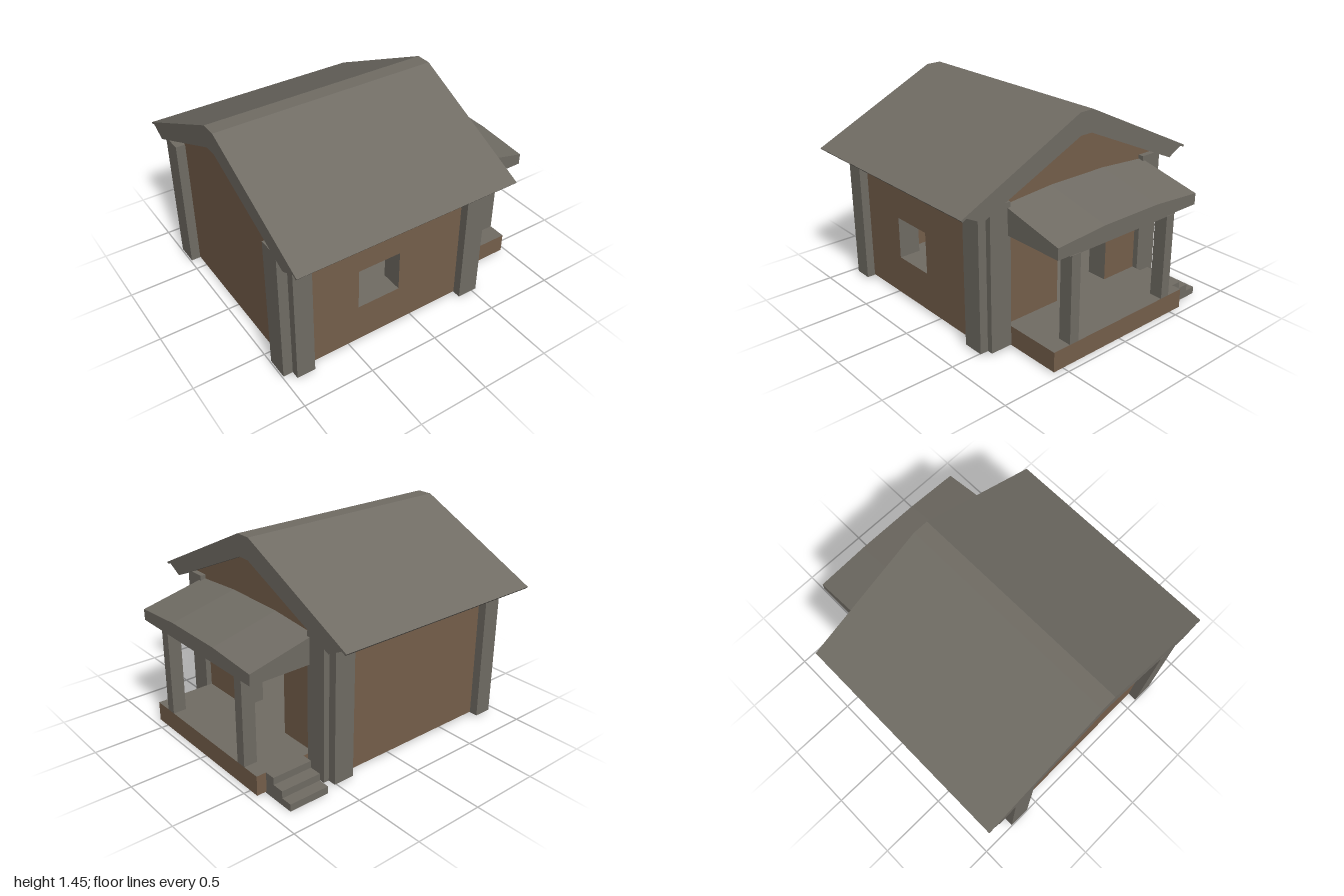
import * as THREE from 'three';
import { ConvexGeometry } from 'three/addons/geometries/ConvexGeometry.js';

const stone = new THREE.MeshStandardMaterial({ color: 0x706c64 });
stone.name = 'grey stone';
const brown = new THREE.MeshStandardMaterial({ color: 0x755f4b });
brown.name = 'brown wall';

const shapeOf = (pts) => new THREE.Shape(pts.map(([x, y]) => new THREE.Vector2(x, y)));
const rect = (x0, x1, y0, y1) => [[x0, y0], [x1, y0], [x1, y1], [x0, y1]];

export function createModel() {
  const house = new THREE.Group();
  house.name = 'house';

  const add = (name, geometry, material) => {
    const mesh = new THREE.Mesh(geometry, material);
    mesh.name = name;
    house.add(mesh);
    return mesh;
  };
  // Box given by its limits on each axis
  const box = (name, x0, x1, y0, y1, z0, z1, material = stone) => {
    const g = new THREE.BoxGeometry(x1 - x0, y1 - y0, z1 - z0);
    g.translate((x0 + x1) / 2, (y0 + y1) / 2, (z0 + z1) / 2);
    return add(name, g, material);
  };
  const extrude = (shape, depth) => new THREE.ExtrudeGeometry(shape, { depth, bevelEnabled: false });
  // Profile drawn in (z, y), extruded from x1 back to x0
  const across = (shape, x0, x1) => extrude(shape, x1 - x0).rotateY(-Math.PI / 2).translate(x1, 0, 0);

  // Long walls; the front one has a window opening with stone reveals
  for (const side of ['front', 'back']) {
    const wall = shapeOf(rect(-0.93, 0.525, 0.02, 0.985));
    if (side === 'front') wall.holes.push(shapeOf(rect(-0.43, -0.115, 0.3, 0.6)));
    const g = extrude(wall, 0.155).translate(0, 0, side === 'front' ? 0.585 : -0.74);
    add(side + 'Wall', g, [brown, stone]);
  }

  // Gable walls; the porch side has a doorway
  const gable = () => shapeOf([[-0.735, 0.02], [0.735, 0.02], [0.735, 0.985],
    [0.045, 1.3], [-0.045, 1.3], [-0.735, 0.985]]);
  const doorWall = gable();
  doorWall.holes.push(shapeOf(rect(-0.295, 0.155, 0.15, 0.76)));
  add('doorGableWall', across(doorWall, 0.375, 0.525), [brown, stone]);
  add('rearGableWall', across(gable(), -0.93, -0.78), [brown, stone]);
  box('floor', -0.79, 0.38, 0.02, 0.15, -0.59, 0.59);

  // Corner pillars: two crossed blocks at each corner
  for (const s of [1, -1]) {
    const zs = (a, b) => (s > 0 ? [a, b] : [-b, -a]);
    box('cornerPillarFace', 0.375, 0.525, 0.015, 0.99, ...zs(0.6, 0.8));
    box('cornerPillarSide', 0.38, 0.565, 0.015, 1.0, ...zs(0.585, 0.742));
    box('cornerPillarFace', -0.93, -0.8, 0.015, 0.99, ...zs(0.6, 0.8));
    box('cornerPillarSide', -0.997, -0.81, 0.015, 1.0, ...zs(0.585, 0.742));
  }

  // Main roof: thick gabled slab with a flat ridge
  const half = [[0.055, 1.445], [0.975, 1.002], [0.965, 0.99], [0.935, 1.005], [0.82, 0.945], [0.045, 1.295]];
  const roof = shapeOf([...half, ...half.map(([z, y]) => [-z, y]).reverse()]);
  add('roof', across(roof, -1, 0.6), stone);

  // Porch base: brown sides and underside, stone deck
  box('porchBase', 0.525, 0.96, 0.012, 0.15, -0.585, 0.585, [brown, brown, stone, brown, brown, brown]);

  // Porch posts and the beams they carry
  for (const z of [0.42, -0.42]) {
    box('porchPost', 0.865, 0.96, 0.15, 0.75, z - 0.036, z + 0.036);
    box('porchSideBeam', 0.525, 0.87, 0.75, 0.79, z - 0.05, z + 0.05);
  }
  box('porchFrontBeam', 0.865, 0.955, 0.745, 0.79, -0.47, 0.47);

  // Porch roof: solid, sloping outward, slightly crowned across its width
  const pts = [];
  for (const s of [1, -1]) {
    for (const [x, drop] of [[0.53, 0], [1, 0.11]]) {
      pts.push(new THREE.Vector3(x, 0.785, s * 0.607),
        new THREE.Vector3(x, 0.972 - drop, s * 0.607),
        new THREE.Vector3(x, 1.0 - drop, s * 0.23));
    }
  }
  add('porchRoof', new ConvexGeometry(pts), stone);

  // Three steps on the back side of the porch
  const steps = shapeOf([[-0.58, 0], [-0.58, 0.15], [-0.66, 0.15], [-0.66, 0.1],
    [-0.745, 0.1], [-0.745, 0.05], [-0.825, 0.05], [-0.825, 0]]);
  add('steps', across(steps, 0.6, 0.89), stone);

  return house;
}
